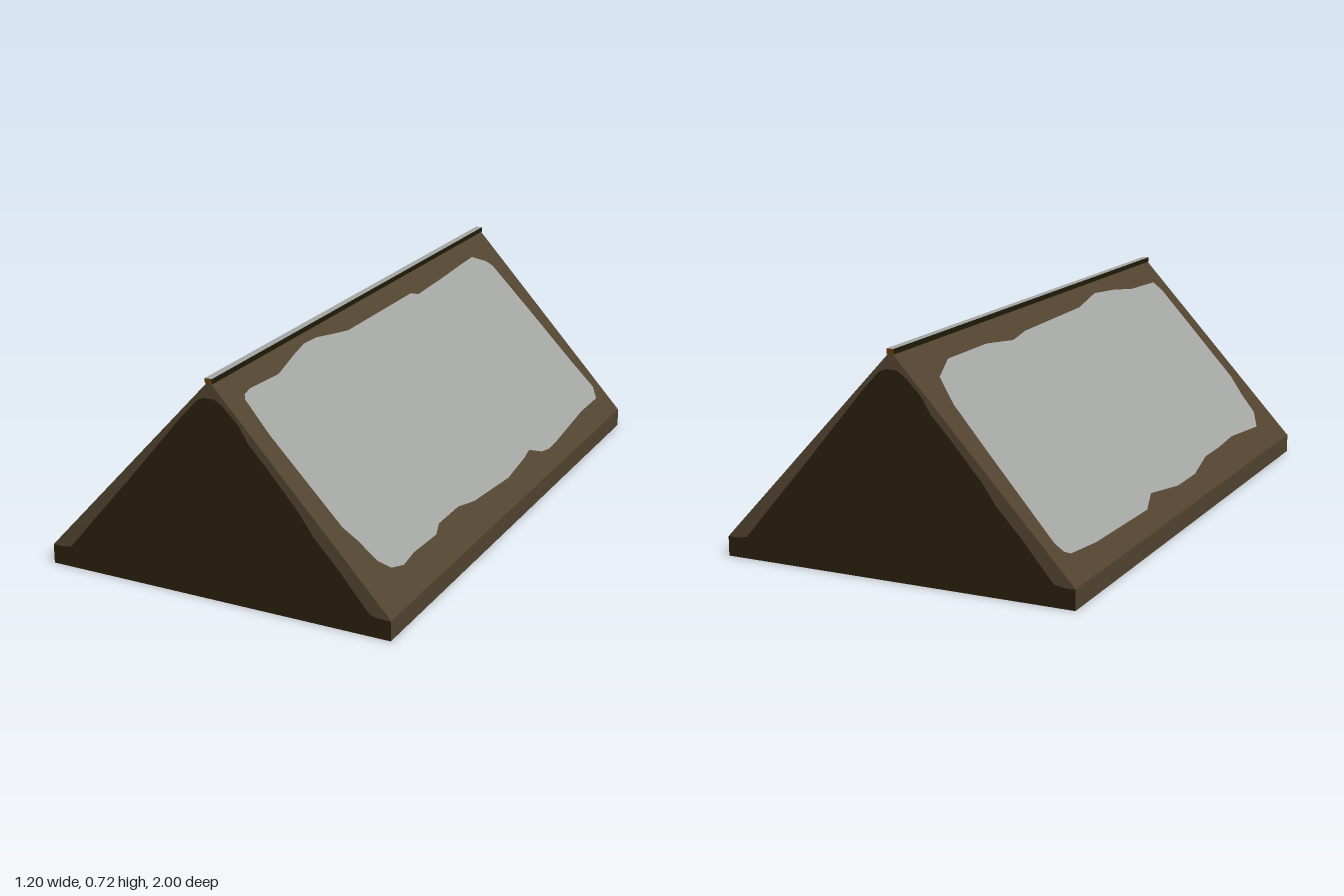
import * as THREE from 'three';

const W = 0.598, BASE = 0.065, APEX = 0.71;
const mat = (name, color) => new THREE.MeshStandardMaterial({ name, color });

// Half width of the roof at height y
const halfWidth = (y) => W * (APEX - y) / (APEX - BASE);
const shapeOf = (pts) => new THREE.Shape(pts.map(([a, b]) => new THREE.Vector2(a, b)));

// Worn patch outlines, as [z, y] on each slope
const leftPatch = [
  [.915, .635], [.9, .645], [.86, .65], [.695, .645], [.565, .665], [.48, .676], [.4, .674],
  [.3, .66], [.22, .65], [-.26, .65], [-.3, .638], [-.5, .642], [-.69, .648], [-.8, .65],
  [-.87, .62], [-.892, .6], [-.91, .43], [-.925, .25], [-.938, .16], [-.9, .13], [-.74, .13],
  [-.45, .115], [-.37, .113], [-.315, .12], [-.25, .145], [-.19, .138], [-.02, .127], [.245, .14],
  [.34, .155], [.49, .155], [.54, .14], [.7, .143], [.78, .137], [.84, .15], [.875, .18],
  [.895, .245], [.915, .285], [.925, .54],
];
// Second outline measured as [z, distance from the ridge]
const rightPatch = [
  [-.94, .5], [-.925, .525], [-.9, .535], [-.74, .545], [-.34, .55], [-.245, .525], [-.05, .545],
  [.11, .545], [.27, .525], [.4, .525], [.56, .52], [.8, .535], [.87, .5], [.885, .445],
  [.915, .39], [.92, .1], [.9, .07], [.695, .065], [.56, .05], [.4, .04], [.22, .06],
  [-.23, .065], [-.34, .075], [-.5, .06], [-.76, .06], [-.87, .09], [-.905, .155], [-.92, .285],
].map(([z, x]) => [z, APEX - x * (APEX - BASE) / W]);

// Lay a flat outline just above the slope on the given side
function slopePatch(outline, side, material) {
  const geo = new THREE.ShapeGeometry(shapeOf(outline.map(([z, y]) => [-side * z, y])));
  const p = geo.attributes.position;
  for (let i = 0; i < p.count; i++) {
    const a = p.getX(i), y = p.getY(i);
    p.setXYZ(i, side * (halfWidth(y) + 0.003), y + 0.003, -side * a);
  }
  geo.computeVertexNormals();
  return new THREE.Mesh(geo, material);
}

export function createModel() {
  const group = new THREE.Group();
  const brown = mat('weathered brown', 0x524430);
  const dark = mat('dark brown', 0x2a1f0c);
  const grey = mat('worn grey', 0xa4a6a3);
  const edge = mat('ridge shadow', 0x1f1b08);
  const warm = mat('warm brown', 0x683c10);
  const add = (name, mesh) => { mesh.name = name; group.add(mesh); return mesh; };

  // Base slab: brown long sides, dark ends, warm underside
  const base = new THREE.BoxGeometry(2 * W, BASE, 2);
  add('base', new THREE.Mesh(base, [brown, brown, brown, warm, dark, dark])).position.y = BASE / 2;

  // Roof prism
  const roof = new THREE.ExtrudeGeometry(
    shapeOf([[-W, BASE], [W, BASE], [0, APEX]]), { depth: 1.996, bevelEnabled: false });
  roof.translate(0, 0, -0.998);
  add('roof', new THREE.Mesh(roof, brown));

  // Dark gable panels with uneven edges
  const gable = new THREE.ShapeGeometry(shapeOf([
    [-.56, BASE], [.56, BASE], [.53, .07], [.5, .105], [.42, .2], [.345, .28], [.3, .345],
    [.2, .46], [.13, .535], [.1, .585], [.05, .635], [.02, .655], [-.015, .655], [-.04, .645],
    [-.1, .58], [-.3, .34], [-.45, .165], [-.5, .105], [-.53, .07],
  ]));
  add('frontGable', new THREE.Mesh(gable, dark)).position.z = 1;
  const back = add('backGable', new THREE.Mesh(gable, dark));
  back.position.z = -1;
  back.rotation.y = Math.PI;

  // Worn patches on the slopes
  add('leftSlopePatch', slopePatch(leftPatch, 1, grey));
  add('rightSlopePatch', slopePatch(rightPatch, -1, grey));

  // Ridge cap
  const ridge = new THREE.BoxGeometry(0.024, 0.017, 2);
  add('ridgeCap', new THREE.Mesh(ridge, [edge, edge, grey, warm, warm, warm])).position.y = 0.709;
  return group;
}
